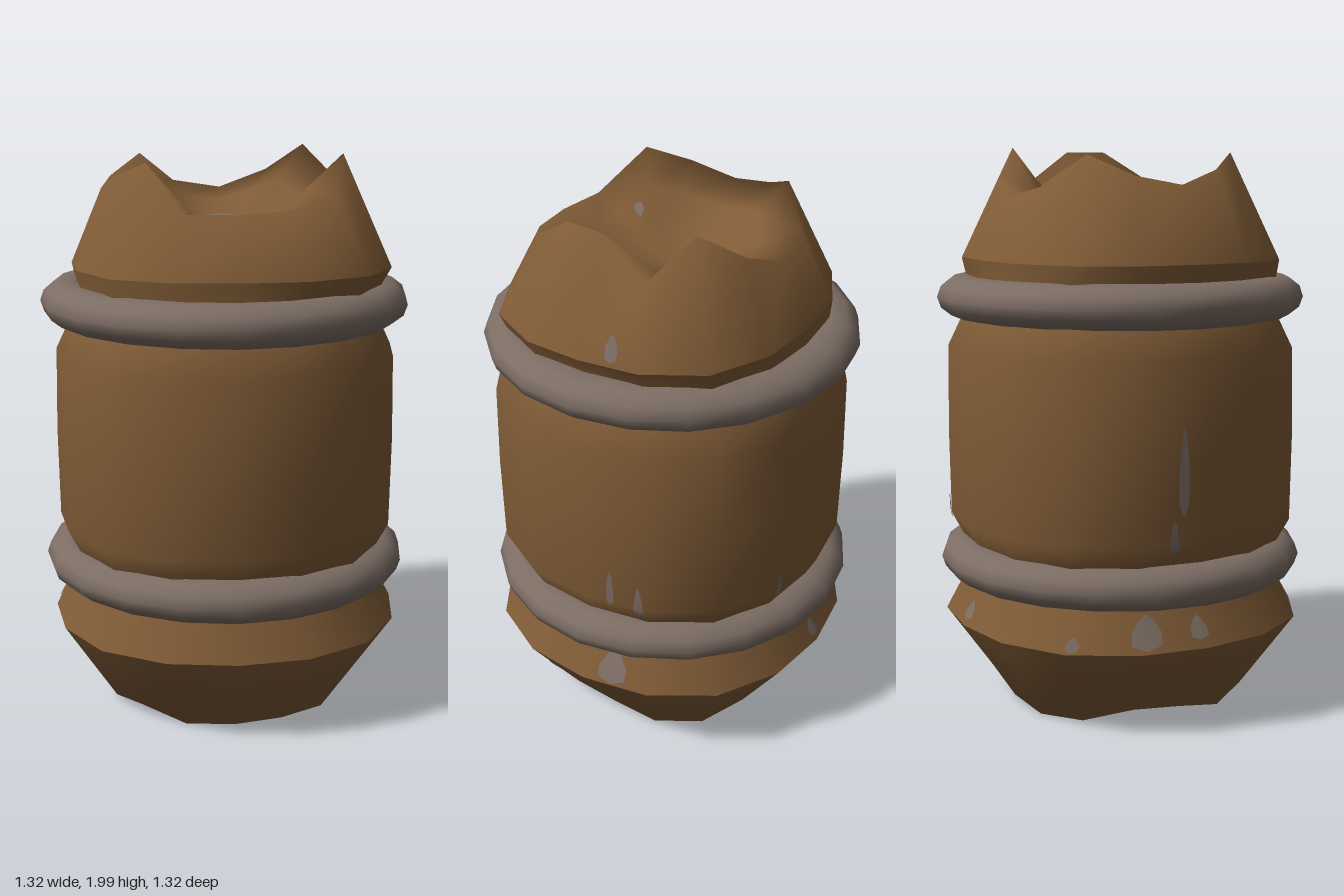
import * as THREE from 'three';

const SIDES = 16;
// heights of the torn upper rim and the uneven lower rim, one per side from +x toward +z
const TOP = [1.985, 1.985, 1.88, 1.83, 1.82, 1.82, 1.98, 1.92, 1.87, 1.9, 1.97, 1.86, 1.83, 1.9, 2.0, 1.86];
const LOW = [0.06, 0.06, 0.02, 0.02, 0.01, 0.01, 0.05, 0.02, 0.05, 0.06, 0.02, 0.01, 0.03, 0.05, 0.02, 0.02];

// one rounded-square ring of points; radius and height may differ per side
function ring(r, y, square = 0.045, dx = 0, depth = 1) {
  return Array.from({ length: SIDES }, (_, i) => {
    const a = (i / SIDES) * Math.PI * 2;
    const rad = (typeof r === 'function' ? r(i) : r) * (1 + square * Math.sin(2 * a) ** 2);
    return new THREE.Vector3(Math.cos(a) * rad + dx, typeof y === 'function' ? y(i) : y, Math.sin(a) * rad * depth);
  });
}

// smooth skin through a stack of rings
function loft(rows) {
  const pos = [], idx = [];
  rows.forEach((row) => row.forEach((p) => pos.push(p.x, p.y, p.z)));
  for (let j = 0; j < rows.length - 1; j++) {
    for (let i = 0; i < SIDES; i++) {
      const a = j * SIDES + i, b = j * SIDES + ((i + 1) % SIDES);
      idx.push(a, a + SIDES, b, b, a + SIDES, b + SIDES);
    }
  }
  const g = new THREE.BufferGeometry();
  g.setAttribute('position', new THREE.Float32BufferAttribute(pos, 3));
  g.setIndex(idx);
  g.computeVertexNormals();
  return g;
}

// point on a skin: angle in degrees, v in ring steps
function surf(rows, deg, v) {
  const u = ((((deg % 360) + 360) % 360) / 360) * SIDES;
  const i = Math.floor(u) % SIDES, k = (i + 1) % SIDES, f = u - Math.floor(u);
  const j = THREE.MathUtils.clamp(Math.floor(v), 0, rows.length - 2);
  const lo = rows[j][i].clone().lerp(rows[j][k], f);
  return lo.lerp(rows[j + 1][i].clone().lerp(rows[j + 1][k], f), v - j);
}

// thin worn spot lying on a skin, narrower toward its top
function spot(rows, deg, v, wide, tall) {
  const at = (d, w) => {
    const p = surf(rows, d, w);
    const dv = surf(rows, d, w + 0.02).sub(surf(rows, d, w - 0.02));
    const du = surf(rows, d + 0.5, w).sub(surf(rows, d - 0.5, w));
    return p.addScaledVector(dv.cross(du).normalize(), 0.006);
  };
  const n = 8, pos = [at(deg, v)];
  for (let i = 0; i < n; i++) {
    const a = (i / n) * Math.PI * 2;
    pos.push(at(deg + Math.cos(a) * wide * (1 - 0.5 * Math.sin(a)), v + Math.sin(a) * tall));
  }
  const idx = [];
  for (let i = 0; i < n; i++) idx.push(0, 1 + ((i + 1) % n), 1 + i);
  const g = new THREE.BufferGeometry().setFromPoints(pos);
  g.setIndex(idx);
  g.computeVertexNormals();
  return g;
}

export function createModel() {
  const model = new THREE.Group();
  model.name = 'boundBundle';
  const brown = new THREE.MeshStandardMaterial({ name: 'brown', color: 0x7f5b36, side: THREE.DoubleSide });
  const grey = new THREE.MeshStandardMaterial({ name: 'greyBrown', color: 0x7c6d64, side: THREE.DoubleSide });
  const add = (name, geometry, material) => {
    const m = new THREE.Mesh(geometry, material);
    m.name = name;
    model.add(m);
    return m;
  };

  // shared rings where the skin has a sharp fold
  const hem = ring(0.63, 0.32, 0.045);
  const shoulder = ring(0.565, 1.61, 0.09, 0.02, 0.94);

  const skins = {
    // hollow underside, lower rim and flaring hem
    base: [
      ring(0.001, 0.27, 0), ring(0.16, 0.25, 0), ring(0.3, (i) => 0.1 + LOW[i] * 0.5, 0.03),
      ring(0.435, (i) => LOW[i], 0.06), hem,
    ],
    body: [
      hem, ring(0.56, 0.45), ring(0.535, 0.53), ring(0.565, 0.6), ring(0.607, 0.68),
      ring(0.612, 1.0), ring(0.607, 1.3), ring(0.56, 1.4), ring(0.53, 1.475), ring(0.54, 1.55, 0.09, 0.01, 0.97), shoulder,
    ],
    // sloping collar, torn rim and shallow hollow
    top: [
      shoulder,
      ring((i) => 0.405 + (1.99 - TOP[i]) * 0.38, (i) => TOP[i], 0.05, 0.015, 0.93),
      ring(0.3, (i) => 0.9 + TOP[i] * 0.49, 0.04), ring(0.17, 1.73, 0), ring(0.001, 1.7, 0),
    ],
  };
  for (const [name, rows] of Object.entries(skins)) add(name, loft(rows), brown);

  // two bands tied around the body
  for (const [name, y] of [['lowerBand', 0.53], ['upperBand', 1.475]]) {
    const g = new THREE.TorusGeometry(0.56, 0.1, 12, 20);
    g.rotateX(Math.PI / 2).scale(1, 0.77, 1);
    add(name, g, grey).position.y = y;
  }

  // worn spots: skin, angle, ring step, half width in degrees, half height in ring steps
  const spots = [
    ['body', -10, 0.48, 5, 0.44], ['body', -10, 4.2, 1.3, 0.24], ['body', -20, 4.02, 1.8, 0.3],
    ['base', 15, 3.82, 3, 0.14], ['top', -12, 0.18, 2.4, 0.14],
    ['body', 188, 4.8, 1.7, 0.5], ['body', 191, 4.0, 1.6, 0.3],
    ['body', 200, 0.5, 5, 0.44], ['body', 182, 0.5, 3, 0.3], ['body', 292, 4.05, 1.2, 0.2],
    ['body', 223, 0.22, 2, 0.18], ['body', 270, 0.4, 2.5, 0.25],
    ['top', 270, 2.95, 13, 0.25], ['top', 123, 2.28, 3, 0.2],
  ];
  spots.forEach(([skin, deg, v, w, h]) => add('wornSpot', spot(skins[skin], deg, v, w, h), grey));
  return model;
}
